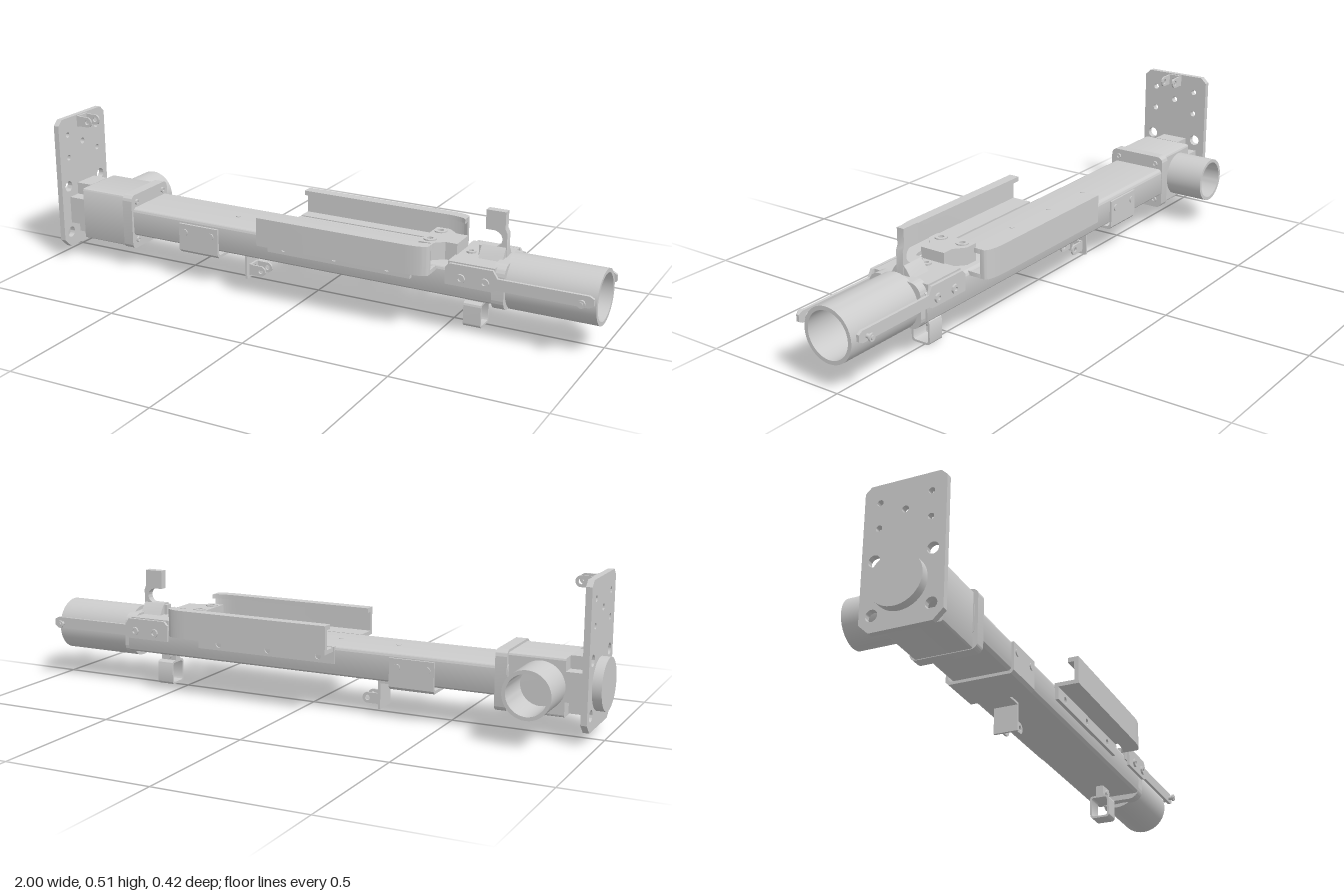
import * as THREE from 'three';
import { toCreasedNormals } from 'three/addons/utils/BufferGeometryUtils.js';

const ZC = 0.024; // lengthwise axis of the body
const YC = 0.173;
const mat = new THREE.MeshStandardMaterial({ color: 0xcccccc, side: THREE.DoubleSide });

export function createModel() {
  const root = new THREE.Group();

  function add(name, geo, parent = root) {
    const m = new THREE.Mesh(geo, mat);
    m.name = name;
    parent.add(m);
    return m;
  }
  function box(name, x0, x1, y0, y1, z0, z1, parent) {
    const g = new THREE.BoxGeometry(x1 - x0, y1 - y0, z1 - z0);
    g.translate((x0 + x1) / 2, (y0 + y1) / 2, (z0 + z1) / 2);
    return add(name, g, parent);
  }
  // Extrusion of a [u, v] outline; u is z for axis 'x', x for axis 'z'
  function solid(name, axis, shape, a, b, parent) {
    let g = new THREE.ExtrudeGeometry(shape, { depth: b - a, bevelEnabled: false, curveSegments: 20 });
    g.translate(0, 0, a);
    if (axis === 'x') g.rotateY(Math.PI / 2);
    if (axis === 'y') g.rotateX(-Math.PI / 2);
    return add(name, toCreasedNormals(g, 0.6), parent);
  }
  const hole = (u, v, r) => new THREE.Path().absarc(u, v, r, 0, Math.PI * 2, true);
  const poly = (pts, holes = []) => {
    const s = new THREE.Shape(pts.map(([u, v]) => new THREE.Vector2(u, v)));
    s.holes = holes;
    return s;
  };
  // Outlines given in model [z, y], flipped for the x extrusion
  const section = (pts, holes = []) =>
    poly(pts.map(([z, y]) => [-z, y]), holes.map(([z, y, r]) => hole(-z, y, r)));
  function roundRect(T, cu, cv, w, h, r) {
    const s = new T(), x = w / 2 - r, y = h / 2 - r, q = Math.PI / 2;
    s.absarc(cu + x, cv + y, r, 0, q);
    s.absarc(cu - x, cv + y, r, q, 2 * q);
    s.absarc(cu - x, cv - y, r, 2 * q, 3 * q);
    s.absarc(cu + x, cv - y, r, 3 * q, 4 * q);
    s.closePath();
    return s;
  }
  function cyl(name, axis, r, len, x, y, z, parent, seg = 20) {
    const g = new THREE.CylinderGeometry(r, r, len, seg);
    if (axis === 'x') g.rotateZ(Math.PI / 2);
    if (axis === 'z') g.rotateX(Math.PI / 2);
    g.translate(x, y, z);
    return add(name, g, parent);
  }
  function ring(u, v, ro, ri) {
    const s = new THREE.Shape().absarc(u, v, ro, 0, Math.PI * 2);
    s.holes.push(hole(u, v, ri));
    return s;
  }
  // Two drilled lugs on a drilled base, pointing to +x
  function clevis(name, x, y, z) {
    const g = new THREE.Group();
    g.name = name;
    solid('clevisBase', 'x', section(
      [[z - 0.026, y - 0.02], [z + 0.026, y - 0.02], [z + 0.026, y + 0.02], [z - 0.026, y + 0.02]],
      [[z, y, 0.01]]), x, x + 0.008, g);
    for (const s of [-1, 1]) {
      const lug = new THREE.Shape();
      lug.moveTo(x, y - 0.018);
      lug.lineTo(x + 0.045, y - 0.018);
      lug.absarc(x + 0.045, y, 0.018, -Math.PI / 2, Math.PI / 2);
      lug.lineTo(x, y + 0.018);
      lug.holes.push(hole(x + 0.045, y, 0.009));
      const c = z + s * 0.023;
      solid('clevisLug', 'z', lug, c - 0.003, c + 0.003, g);
    }
    root.add(g);
  }

  // Main rectangular tube
  const tube = roundRect(THREE.Shape, -ZC + 0.004, 0.173, 0.206, 0.102, 0.016);
  tube.holes.push(roundRect(THREE.Path, -ZC + 0.004, 0.168, 0.186, 0.076, 0.01));
  solid('mainTube', 'x', tube, -0.71, 0.69);
  for (const x of [-0.3, -0.09, 0.12, 0.33]) cyl('topRivet', 'y', 0.008, 0.004, x, 0.224, ZC, root, 14);

  // Rear plate with chamfered corners, small and large holes
  const holes = [[0.03, 0.41, 0.011]];
  for (const s of [-1, 1]) {
    for (const y of [0.366, 0.45]) holes.push([0.03 + s * 0.082, y, 0.01]);
    for (const y of [0.09, 0.262]) holes.push([0.03 + s * 0.092, y, 0.019]);
  }
  solid('rearPlate', 'x', section([
    [0.16, 0.068], [0.128, 0.037], [-0.07, 0.037], [-0.102, 0.068],
    [-0.102, 0.492], [-0.082, 0.511], [0.14, 0.511], [0.16, 0.492]], holes), -0.97, -0.95);
  clevis('upperClevis', -0.95, 0.488, 0.03);
  cyl('rearDisc', 'x', 0.085, 0.032, -0.984, YC, ZC, root, 48);

  // Rear housing: relieved corners next to the plate, then a full block
  const W = 0.094, n = 0.048;
  const plus = [[W, -n], [W, n], [n, n], [n, 0.09], [-n, 0.09], [-n, n],
    [-W, n], [-W, -n], [-n, -n], [-n, -0.094], [n, -0.094], [n, -n]];
  solid('housingNeck', 'x', section(plus.map(([z, y]) => [z + ZC, y + YC])), -0.95, -0.89);
  solid('housingBlock', 'x', roundRect(THREE.Shape, -ZC, 0.169, 2 * W, 0.186, 0.008), -0.89, -0.7);
  const flange = roundRect(THREE.Shape, -ZC, 0.172, 0.218, 0.196, 0.022);
  flange.holes.push(roundRect(THREE.Path, -ZC, 0.168, 0.18, 0.074, 0.01));
  solid('housingFlange', 'x', flange, -0.708, -0.67);
  for (const s of [-1, 1]) for (const y of [0.104, 0.243]) {
    solid('flangeBolt', 'x', ring(-(ZC + s * 0.079), y, 0.01, 0.005), -0.67, -0.663);
  }

  // Open side pipe pointing to the back
  solid('sidePipe', 'z', ring(-0.813, 0.17, 0.078, 0.066), -0.21, -0.05);

  // Under-strap with side cheeks, tail tab and hanging clevis
  solid('strap', 'x', section([
    [0.138, 0.207], [0.138, 0.112], [0.128, 0.102], [-0.08, 0.102], [-0.09, 0.112], [-0.09, 0.207],
    [-0.082, 0.207], [-0.082, 0.12], [-0.075, 0.112], [0.123, 0.112], [0.13, 0.12], [0.13, 0.207]]),
  -0.47, -0.315);
  for (const x of [-0.447, -0.342]) for (const z of [0.138, -0.09]) cyl('strapScrew', 'z', 0.012, 0.008, x, 0.178, z);
  box('strapTail', -0.32, -0.25, 0.102, 0.11, -0.027, 0.055);
  box('strapDrop', -0.258, -0.25, 0.014, 0.11, -0.027, 0.055);
  clevis('lowerClevis', -0.25, 0.044, 0.014);

  // Side channels and their drilled mounting strips, one per side
  for (const s of [-1, 1]) {
    const g = new THREE.Group();
    g.name = s > 0 ? 'leftChannel' : 'rightChannel';
    root.add(g);
    // plan outline of a strip between two offsets, curving in at the front
    const plan = (d0, d1, xe) => {
      const p = new THREE.Shape(), v = d => -(ZC + s * d);
      p.moveTo(-0.12, v(d0));
      p.lineTo(-0.12, v(d1));
      p.lineTo(xe - 0.085, v(d1));
      p.quadraticCurveTo(xe - 0.01, v(d1), xe, v(d1 - 0.02));
      p.lineTo(xe, v(d0 - 0.02));
      p.quadraticCurveTo(xe - 0.01, v(d0), xe - 0.085, v(d0));
      p.closePath();
      return p;
    };
    solid('channelWall', 'y', plan(0.168, 0.183, 0.485), 0.208, 0.304, g);
    solid('channelLip', 'y', plan(0.146, 0.169, 0.485), 0.288, 0.304, g);
    solid('channelFloor', 'y', plan(0.122, 0.169, 0.485), 0.208, 0.222, g);
    const z = ZC + s * 0.106;
    box('channelFoot', -0.12, 0.4, 0.208, 0.222, z - 0.008, z + 0.022, g);
    const xs = [-0.06, 0.13, 0.32];
    solid('channelStrip', 'z', poly([[-0.12, 0.164], [0.4, 0.164], [0.4, 0.222], [-0.12, 0.222]],
      xs.map(x => hole(x, 0.185, 0.011))), z - 0.006, z + 0.006, g);

    // Long thin arm beside the barrel with its cross pin
    const arm = new THREE.Group();
    arm.name = s > 0 ? 'leftArm' : 'rightArm';
    root.add(arm);
    const a = ZC + s * 0.115;
    const armShape = poly([[0.522, 0.174], [0.68, 0.174], [0.695, 0.182], [0.985, 0.182], [1, 0.19],
      [1, 0.212], [0.985, 0.22], [0.695, 0.22], [0.68, 0.244], [0.535, 0.244], [0.522, 0.23]]);
    solid('armStrip', 'z', armShape, a - 0.005, a + 0.005, arm);
    for (const x of [0.575, 0.655]) solid('armBolt', 'z', ring(x, 0.2, 0.015, 0.007), a - 0.012, a + 0.012, arm);
    cyl('armPin', 'z', 0.007, 0.045, 0.966, 0.198, a + s * 0.006, arm);
    for (const d of [-0.012, 0.022]) cyl('pinCollar', 'z', 0.013, 0.006, 0.966, 0.198, a + s * d, arm);
  }

  // Front pipe with a collar where it meets the tube
  solid('frontPipe', 'x', ring(-ZC, 0.178, 0.09, 0.077), 0.7, 1);
  const collar = roundRect(THREE.Shape, -ZC, 0.178, 0.2, 0.15, 0.04);
  collar.holes.push(roundRect(THREE.Path, -ZC, 0.168, 0.15, 0.076, 0.01));
  solid('pipeCollar', 'x', collar, 0.67, 0.71);

  // Saddle on the top, with a tapered rear pad
  box('saddle', 0.525, 0.68, 0.2, 0.246, ZC - 0.104, ZC + 0.104);
  const pad = poly([[0.41, -0.075], [0.455, -0.075], [0.49, -0.045], [0.53, -0.045], [0.53, 0.045],
    [0.49, 0.045], [0.455, 0.075], [0.41, 0.075]].map(([x, z]) => [x, z - ZC]),
  [-1, 1].map(s => hole(0.436, s * 0.042 - ZC, 0.014)));
  solid('saddlePad', 'y', pad, 0.22, 0.282);
  for (const s of [-1, 1]) solid('padBolt', 'y', ring(0.436, s * 0.042 - ZC, 0.021, 0.01), 0.282, 0.286);
  solid('saddleBolt', 'y', ring(0.56, -ZC, 0.016, 0.008), 0.246, 0.252);

  // Upright fin with a hooked head on a flared foot
  const fin = new THREE.Shape();
  fin.moveTo(0.61, 0.4);
  fin.lineTo(0.61, 0.336);
  fin.lineTo(0.64, 0.336);
  fin.quadraticCurveTo(0.668, 0.33, 0.666, 0.305);
  fin.quadraticCurveTo(0.662, 0.282, 0.625, 0.28);
  fin.lineTo(0.59, 0.28);
  fin.lineTo(0.59, 0.24);
  fin.lineTo(0.682, 0.24);
  fin.lineTo(0.682, 0.33);
  fin.lineTo(0.675, 0.345);
  fin.lineTo(0.675, 0.4);
  solid('fin', 'z', fin, ZC - 0.013, ZC + 0.013);
  solid('finFoot', 'x', section([[0.068, 0.24], [0.05, 0.27], [0.037, 0.285],
    [0.011, 0.285], [-0.002, 0.27], [-0.02, 0.24]]), 0.6, 0.68);

  // Hanging strap loop under the front
  const loop = roundRect(THREE.Shape, -0.014, 0.043, 0.072, 0.084, 0.012);
  loop.holes.push(roundRect(THREE.Path, -0.014, 0.043, 0.058, 0.07, 0.008));
  solid('hangingLoop', 'x', loop, 0.55, 0.61);
  box('loopNeck', 0.55, 0.61, 0.08, 0.126, 0.002, 0.03);
  cyl('loopBolt', 'z', 0.012, 0.044, 0.58, 0.1, 0.016);

  return root;
}
